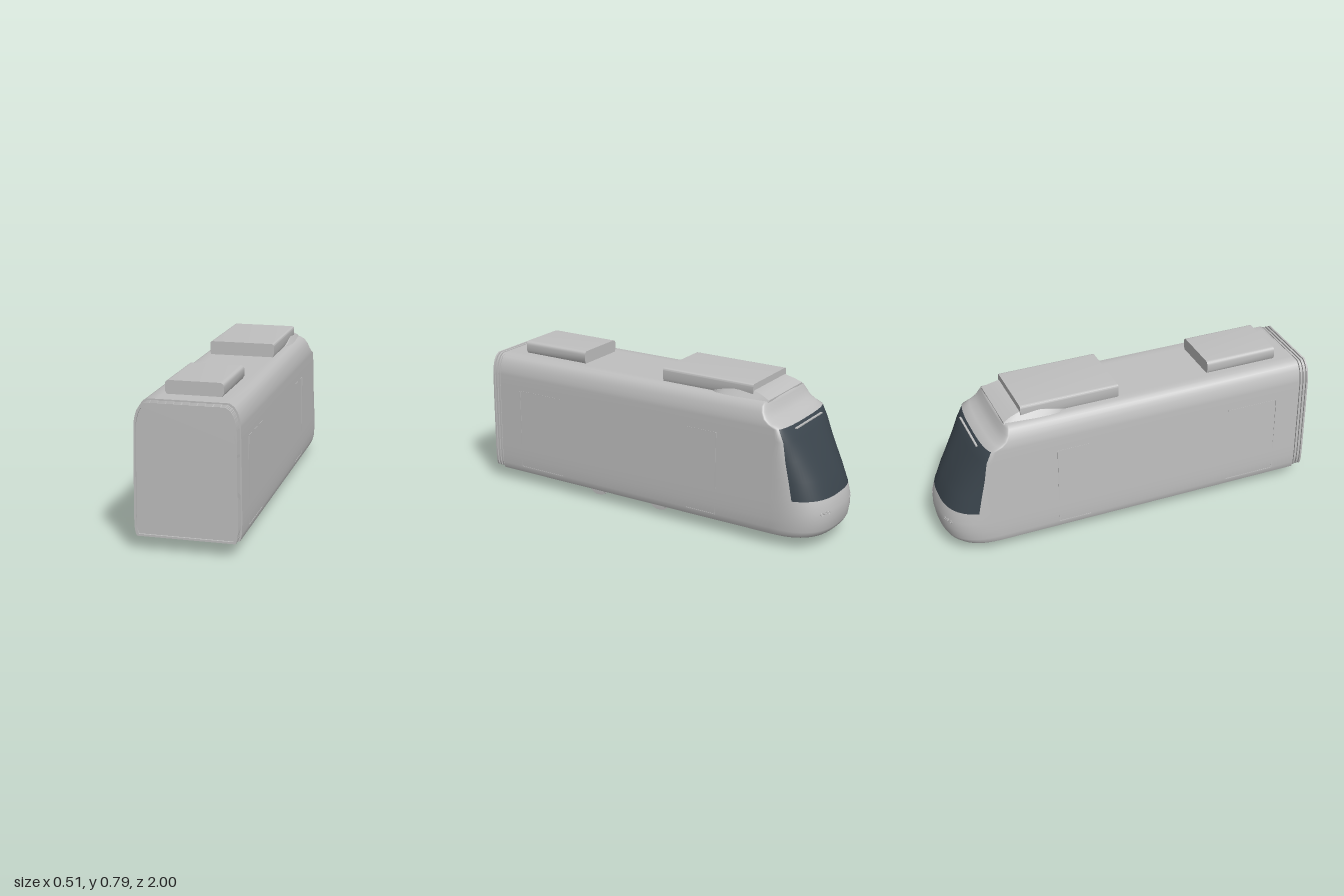
import * as THREE from 'three';
import { toCreasedNormals } from 'three/addons/utils/BufferGeometryUtils.js';

// Body levels from sill to roof: height, half width, nose tip z, depth of nose curve
const LEVELS = [
  [0.065, 0.243, -0.965, 0.25], [0.078, 0.248, -0.98, 0.25], [0.1, 0.253, -0.992, 0.26],
  [0.15, 0.255, -1, 0.26], [0.2, 0.255, -1, 0.26], [0.26, 0.254, -0.985, 0.26],
  [0.35, 0.253, -0.945, 0.22], [0.45, 0.252, -0.89, 0.16], [0.55, 0.25, -0.83, 0.08],
  [0.612, 0.249, -0.787, 0.05], [0.63, 0.247, -0.745, 0.045], [0.65, 0.243, -0.71, 0.035],
  [0.68, 0.234, -0.69, 0.03], [0.705, 0.218, -0.678, 0.025], [0.72, 0.195, -0.67, 0.02],
  [0.72, 0.15, -0.62, 0.02],
];
const GLASS = [5, 9];      // levels between which the windscreen lies
const POWER = 2.7;         // squareness of the nose in plan
const BACK = 0.945;
const ARC = 36;

// z of the nose surface at a given x for one level
const noseZ = ([, w, tip, depth], x) =>
  tip + depth * (1 - Math.pow(1 - Math.pow(Math.abs(x) / w, POWER), 1 / POWER));

function bodyGeometry() {
  const pos = [], skin = [], glass = [], cols = ARC + 3;
  const outline = ([y, w, tip, depth]) => {
    const pts = [[w, y, BACK]];
    for (let i = 0; i <= ARC; i++) {
      const a = (i / ARC) * Math.PI, c = Math.cos(a);
      const x = w * Math.sign(c) * Math.pow(Math.abs(c), 2 / POWER);
      const z = tip + depth - depth * Math.pow(Math.abs(Math.sin(a)), 2 / POWER);
      pts.push([x, y, z]);
    }
    pts.push([-w, y, BACK]);
    return pts;
  };
  LEVELS.forEach((l) => outline(l).forEach((p) => pos.push(...p)));
  for (let r = 0; r < LEVELS.length - 1; r++) {
    for (let c = 0; c < cols - 1; c++) {
      const a = r * cols + c, d = a + cols;
      const front = c >= 5 && c < cols - 6;
      const list = front && r >= GLASS[0] && r < GLASS[1] ? glass : skin;
      list.push(a, a + 1, d + 1, a, d + 1, d);
    }
  }
  // Flat floor and roof
  [[0, false], [LEVELS.length - 1, true]].forEach(([r, up]) => {
    const base = pos.length / 3;
    pos.push(0, LEVELS[r][0], 0);
    outline(LEVELS[r]).forEach((p) => pos.push(...p));
    for (let c = 0; c < cols; c++) {
      const a = base + 1 + c, b = base + 1 + ((c + 1) % cols);
      skin.push(base, up ? a : b, up ? b : a);
    }
  });
  const g = new THREE.BufferGeometry();
  g.setAttribute('position', new THREE.Float32BufferAttribute(pos, 3));
  g.setIndex([...skin, ...glass]);
  g.addGroup(0, skin.length, 0);
  g.addGroup(skin.length, glass.length, 1);
  g.computeVertexNormals();
  return g;
}

// Body cross-section, drawn in by an inset
function sectionPoints(inset) {
  const half = LEVELS.slice(0, -1).map(([y, w]) =>
    new THREE.Vector2(w * (1 - inset / 0.25), 0.392 + (y - 0.392) * (1 - inset / 0.328)));
  return [...half, ...half.map((p) => new THREE.Vector2(-p.x, p.y)).reverse()];
}

function extrude(shape, z0, z1) {
  const g = new THREE.ExtrudeGeometry(shape, { depth: z1 - z0, bevelEnabled: false, curveSegments: 6 });
  g.translate(0, 0, z0);
  return toCreasedNormals(g, 0.6);
}

export function createModel() {
  const model = new THREE.Group();
  const paint = new THREE.MeshStandardMaterial({ color: 0xbfbfbf });
  paint.name = 'grey paint';
  const dark = new THREE.MeshStandardMaterial({ color: 0x3a444c });
  dark.name = 'dark glass';

  const add = (name, geometry, x = 0, y = 0, z = 0, material = paint) => {
    const m = new THREE.Mesh(geometry, material);
    m.name = name;
    m.position.set(x, y, z);
    model.add(m);
    return m;
  };
  const box = (name, w, h, d, x, y, z) => add(name, new THREE.BoxGeometry(w, h, d), x, y, z);

  add('body', bodyGeometry(), 0, 0, 0, [paint, dark]);

  // Rear wall and ribbed gangway
  add('rearWall', extrude(new THREE.Shape(sectionPoints(0)), BACK - 0.01, BACK));
  add('gangwayCore', extrude(new THREE.Shape(sectionPoints(0.014)), BACK, 0.992));
  for (let i = 0; i < 3; i++) {
    const rib = new THREE.Shape(sectionPoints(0.006));
    rib.holes.push(new THREE.Path(sectionPoints(0.016).reverse()));
    add('gangwayRib', extrude(rib, 0.954 + i * 0.018, 0.964 + i * 0.018));
  }

  // Roof units with softened long edges
  const roofUnit = (w, top, r, z0, z1) => {
    const s = new THREE.Shape();
    s.moveTo(-w + r * 0.5, 0.715);
    s.lineTo(w - r * 0.5, 0.715);
    s.lineTo(w, 0.735);
    s.lineTo(w, top - r);
    s.quadraticCurveTo(w, top, w - r, top);
    s.lineTo(-w + r, top);
    s.quadraticCurveTo(-w, top, -w, top - r);
    s.lineTo(-w, 0.735);
    add('roofUnit', extrude(s, z0, z1));
  };
  roofUnit(0.141, 0.786, 0.022, 0.45, 0.84);
  roofUnit(0.172, 0.79, 0.014, -0.58, -0.06);

  // Sloping fairing around the forward roof unit
  const stations = [[-0.67, 0.725, 0.18], [-0.63, 0.742, 0.185], [-0.58, 0.757, 0.19],
    [-0.5, 0.755, 0.197], [-0.43, 0.745, 0.197], [-0.38, 0.732, 0.19], [-0.35, 0.721, 0.172]];
  const fairing = new THREE.BoxGeometry(1, 1, 1, 1, 1, stations.length - 1);
  const p = fairing.attributes.position;
  for (let i = 0; i < p.count; i++) {
    const [z, top, w] = stations[Math.round((p.getZ(i) + 0.5) * (stations.length - 1))];
    const upper = p.getY(i) > 0;
    p.setXYZ(i, Math.sign(p.getX(i)) * (upper ? w - (top - 0.72) * 0.8 : w), upper ? top : 0.715, z);
  }
  add('roofFairing', toCreasedNormals(fairing, 0.5));

  // Wheels with inner flanges, and axles
  for (const z of [0.36, -0.03]) {
    for (const s of [-1, 1]) {
      add('wheel', new THREE.CylinderGeometry(0.057, 0.057, 0.024, 32), s * 0.164, 0.065, z).rotation.z = Math.PI / 2;
      add('wheelFlange', new THREE.CylinderGeometry(0.065, 0.065, 0.008, 32), s * 0.156, 0.065, z).rotation.z = Math.PI / 2;
    }
    add('axle', new THREE.CylinderGeometry(0.007, 0.007, 0.31, 12), 0, 0.064, z).rotation.z = Math.PI / 2;
  }

  for (const s of [-1, 1]) {
    // Door seams
    for (const [edge, inner] of [[0.81, 0.53], [-0.42, -0.25]]) {
      const mid = (edge + inner) / 2, len = Math.abs(edge - inner);
      box('doorSideSeam', 0.01, 0.435, 0.004, s * 0.2495, 0.318, edge);
      box('doorTopSeam', 0.008, 0.004, len, s * 0.2475, 0.535, mid);
      box('doorSillSeam', 0.006, 0.004, len, s * 0.2515, 0.1, mid);
    }
    // Clusters of three lamps
    const lamps = new THREE.Group();
    lamps.name = 'headlamps';
    for (let i = -1; i <= 1; i++) {
      const x = s * (0.14 + i * 0.02);
      const lamp = new THREE.Mesh(new THREE.TorusGeometry(0.008, 0.002, 8, 16), paint);
      lamp.name = 'lampRing';
      lamp.position.set(x, 0.19 + (i === 0 ? 0.004 : 0), noseZ(LEVELS[4], x));
      lamp.rotation.y = -s * 0.4;
      lamps.add(lamp);
    }
    model.add(lamps);
  }

  // Rail along the top of the windscreen
  box('wiperRail', 0.28, 0.006, 0.01, 0, 0.597, -0.802);
  return model;
}
